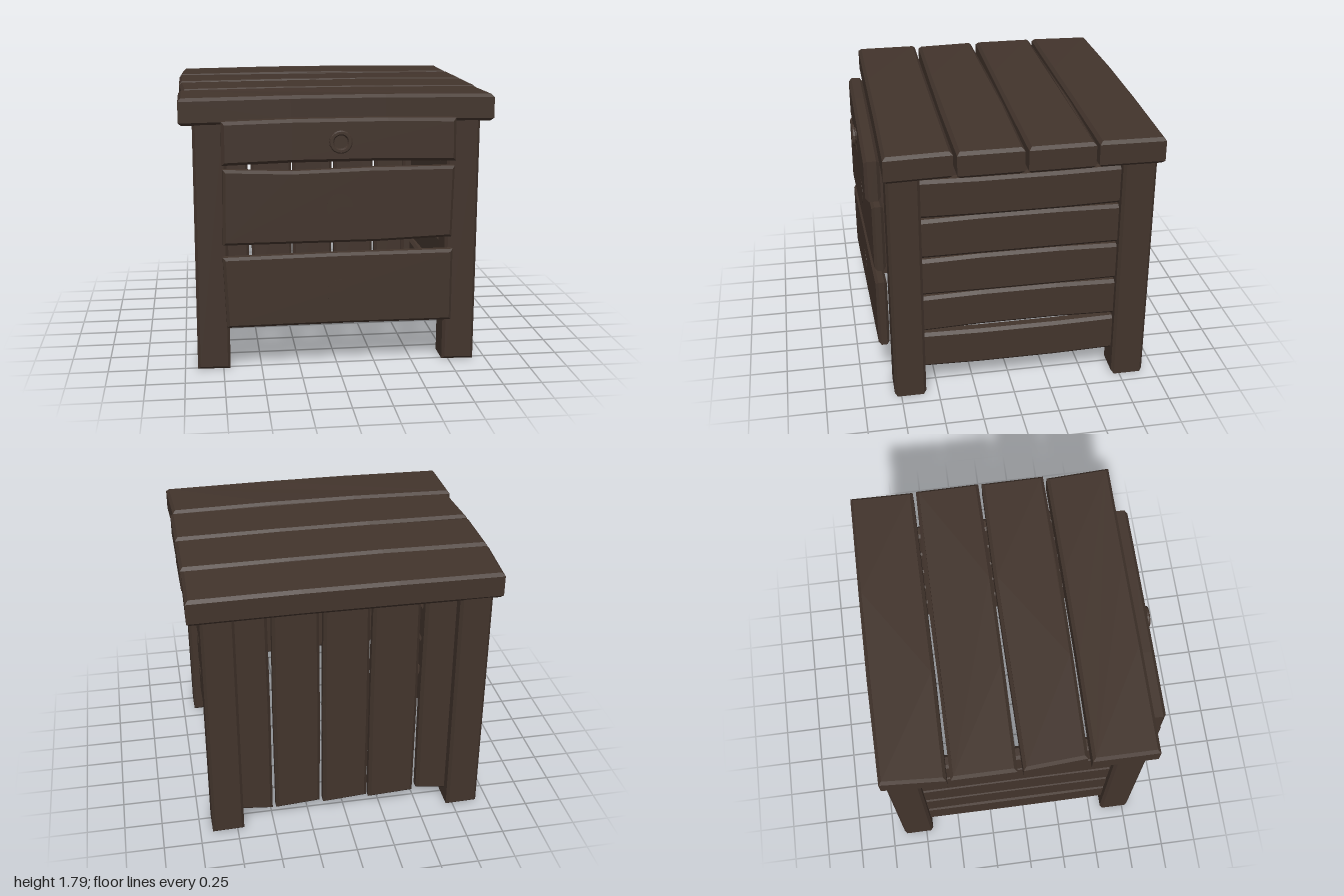
import * as THREE from 'three';

const wood = new THREE.MeshStandardMaterial({ color: 0x42342c, flatShading: true });
wood.name = 'darkWood';

// Chamfered board: an outline extruded from depth a to depth b
function board(points, a, b, bevel = 0.018) {
  const shape = new THREE.Shape(points.map(([x, y]) => new THREE.Vector2(x, y)));
  const geo = new THREE.ExtrudeGeometry(shape, {
    depth: b - a - 2 * bevel, bevelEnabled: true, bevelSegments: 1,
    bevelThickness: bevel, bevelSize: bevel, bevelOffset: -bevel,
  });
  return geo.translate(0, 0, a + bevel);
}

export function createModel() {
  const group = new THREE.Group();
  const add = (name, geo) => {
    const mesh = new THREE.Mesh(geo, wood);
    mesh.name = name;
    group.add(mesh);
    return mesh;
  };

  // Four legs
  for (const s of [-1, 1]) {
    const [l, r] = s < 0 ? [-0.918, -0.705] : [0.705, 0.917];
    const outline = [[l, 0.005], [r, 0.0], [r, 1.64], [l + 0.003, 1.64]];
    add('frontLeg', board(outline, 0.582, 0.793));
    add('backLeg', board(outline, -0.913, -0.697));
  }

  // Table top: four uneven boards, outlines given as x, z and bowed slightly upward
  const tops = [
    [[-0.975, -0.925], [-0.3, -0.935], [0.3, -0.935], [0.997, -0.932], [0.99, -0.515], [0.3, -0.51], [-0.3, -0.508], [-1, -0.512]],
    [[-1, -0.488], [-0.3, -0.492], [0.3, -0.5], [0.995, -0.493], [0.998, -0.073], [0.3, -0.068], [-0.3, -0.07], [-1, -0.077]],
    [[-1, -0.04], [-0.3, -0.05], [0.3, -0.055], [0.995, -0.05], [0.998, 0.365], [0.3, 0.374], [-0.3, 0.37], [-0.975, 0.362]],
    [[-1, 0.387], [-0.3, 0.392], [0.3, 0.392], [0.98, 0.387], [1, 0.81], [0.3, 0.808], [-0.3, 0.81], [-1, 0.81]],
  ];
  for (const outline of tops) {
    const geo = board(outline, -1.795, -1.622, 0.02).rotateX(Math.PI / 2);
    const p = geo.attributes.position;
    for (let i = 0; i < p.count; i++) p.setY(i, p.getY(i) - 0.01 * p.getX(i) ** 2);
    add('topBoard', geo);
  }

  // Side slats, outlines given as z, y with slightly bowed edges
  const slats = [[0.177, 0.436, -0.01, -0.008], [0.455, 0.715, 0.013, 0.01], [0.732, 0.99, -0.004, 0.01],
    [1.004, 1.275, 0, 0.008], [1.29, 1.55, -0.008, -0.007]];
  for (const x of [-0.86, 0.77]) {
    for (const [lo, hi, bowLo, bowHi] of slats) {
      const outline = [[-0.72, lo], [-0.3, lo + bowLo], [0.2, lo + bowLo], [0.605, lo],
        [0.605, hi], [0.2, hi + bowHi], [-0.3, hi + bowHi], [-0.72, hi]];
      add('sideSlat', board(outline, -x - 0.09, -x, 0.02).rotateY(-Math.PI / 2));
    }
  }

  // Recessed back slats: left x, right x, bottom y at left and right
  const backs = [[-0.75, -0.505, 0.075, 0.11], [-0.478, -0.168, 0.092, 0.077], [-0.153, 0.148, 0.097, 0.077],
    [0.172, 0.473, 0.097, 0.077], [0.497, 0.75, 0.078, 0.105]];
  for (const [l, r, yl, yr] of backs) {
    add('backSlat', board([[l, yl], [r, yr], [r + 0.003, 0.85], [r - 0.003, 1.64], [l + 0.003, 1.64], [l - 0.003, 0.85]], -0.83, -0.74, 0.02));
  }

  // Drawer fronts, the lower two hanging slightly askew
  add('topDrawerFront', board([[-0.74, 1.375], [-0.3, 1.387], [0.3, 1.387], [0.74, 1.378],
    [0.735, 1.65], [0.3, 1.66], [-0.3, 1.66], [-0.738, 1.65]], 0.808, 0.907, 0.02));
  const lowerFronts = [
    ['middleDrawerFront', [[-0.742, 0.868], [0.25, 0.86], [0.732, 0.872], [0.742, 1.338], [0.2, 1.342], [-0.3, 1.332], [-0.735, 1.352]]],
    ['bottomDrawerFront', [[-0.725, 0.322], [0.1, 0.318], [0.742, 0.307], [0.742, 0.788], [0, 0.792], [-0.745, 0.788]]],
  ];
  for (const [name, outline] of lowerFronts) {
    const front = add(name, board(outline, -0.037, 0.037));
    front.position.z = 0.857;
    front.rotation.y = 0.03;
  }

  // Turned knob with a recessed centre
  const profile = [[0.05, 0], [0.05, 0.014], [0.073, 0.018], [0.073, 0.03], [0.066, 0.037], [0.05, 0.037], [0.042, 0.026], [0, 0.026]];
  const knob = add('topKnob', new THREE.LatheGeometry(profile.map(([r, y]) => new THREE.Vector2(r, y)), 20).rotateX(Math.PI / 2));
  knob.position.set(0, 1.517, 0.9);

  // Nearly flush knobs on the lower drawers
  for (const [name, y] of [['middleKnob', 1.095], ['bottomKnob', 0.535]]) {
    const disc = add(name, new THREE.CylinderGeometry(0.086, 0.086, 0.008, 24).rotateX(Math.PI / 2));
    disc.position.set(0, y, 0.8915);
    disc.rotation.y = 0.03;
  }
  return group;
}
